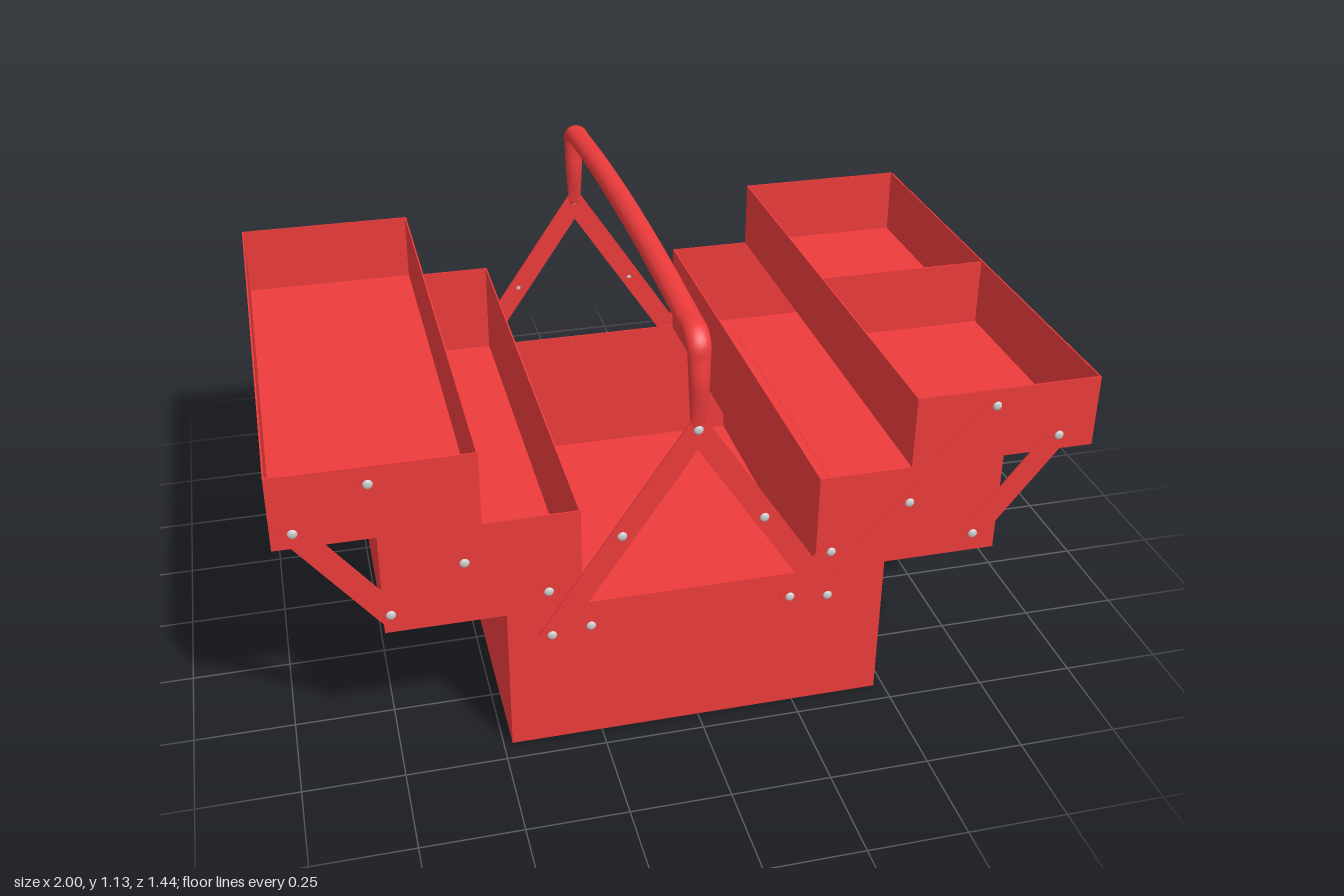
import * as THREE from 'three';

const red = new THREE.MeshStandardMaterial({ color: 0xec3b3b });
const grey = new THREE.MeshStandardMaterial({ color: 0xcccccc });
const WALL = 0.004, HALF = 0.692, BODY_Z = 0.004, MID = -0.022;

function add(parent, name, geometry, material = red) {
  const mesh = new THREE.Mesh(geometry, material);
  mesh.name = name;
  parent.add(mesh);
  return mesh;
}

// Open sheet-metal box: floor and four thin walls
function openBox(name, x0, x1, y0, y1) {
  const g = new THREE.Group();
  g.name = name;
  g.position.z = BODY_Z;
  const w = x1 - x0, h = y1 - y0, cx = (x0 + x1) / 2, cy = (y0 + y1) / 2;
  add(g, 'floor', new THREE.BoxGeometry(w, WALL, HALF * 2)).position.set(cx, y0 + WALL / 2, 0);
  for (const s of [-1, 1]) {
    add(g, 'sideWall', new THREE.BoxGeometry(WALL, h, HALF * 2)).position.set(cx + s * (w - WALL) / 2, cy, 0);
    add(g, 'endWall', new THREE.BoxGeometry(w, h, WALL)).position.set(cx, cy, s * (HALF - WALL / 2));
  }
  return g;
}

// Flat round-ended bar between two pivots in the xy plane
function strap(parent, name, a, b, z) {
  const r = 0.029, len = Math.hypot(b[0] - a[0], b[1] - a[1]);
  const s = new THREE.Shape();
  s.absarc(len, 0, r, -Math.PI / 2, Math.PI / 2);
  s.absarc(0, 0, r, Math.PI / 2, Math.PI * 1.5);
  s.closePath();
  const geo = new THREE.ExtrudeGeometry(s, { depth: 0.005, bevelEnabled: false, curveSegments: 10 });
  geo.translate(0, 0, -0.0025);
  const m = add(parent, name, geo);
  m.position.set(a[0], a[1], z);
  m.rotation.z = Math.atan2(b[1] - a[1], b[0] - a[0]);
}

// Smooth carrying handle: elliptical sections swept along an arch in the yz plane
function handleGeometry() {
  // z, y, half width in x, half thickness in the plane
  const half = [
    [0.699, 0.84, 0.017, 0.003], [0.699, 0.88, 0.02, 0.01], [0.698, 0.93, 0.023, 0.019],
    [0.698, 0.97, 0.025, 0.022], [0.695, 1.02, 0.027, 0.019], [0.69, 1.055, 0.029, 0.02],
    [0.662, 1.075, 0.03, 0.024], [0.6, 1.079, 0.03, 0.025], [0.4, 1.091, 0.03, 0.027], [0.2, 1.0985, 0.03, 0.028],
  ];
  const rows = [...half, [0, 1.101, 0.03, 0.0285], ...half.slice().reverse().map(([z, ...r]) => [-z, ...r])];
  const path = new THREE.CatmullRomCurve3(rows.map(([z, y]) => new THREE.Vector3(0, y, z)), false, 'centripetal');
  const radii = new THREE.CatmullRomCurve3(rows.map(r => new THREE.Vector3(r[2], r[3], 0)), false, 'catmullrom');
  const N = 100, S = 20, pos = [], idx = [];
  for (let i = 0; i <= N; i++) {
    const p = path.getPoint(i / N), t = path.getTangent(i / N), r = radii.getPoint(i / N);
    for (let j = 0; j < S; j++) {
      const a = j / S * Math.PI * 2, c = Math.cos(a) * r.x, n = Math.sin(a) * r.y;
      pos.push(c, p.y - t.z * n, p.z + t.y * n);
      if (i < N) {
        const k = i * S + j, l = i * S + (j + 1) % S;
        idx.push(k, k + S, l, l, k + S, l + S);
      }
    }
  }
  for (let j = 1; j < S - 1; j++) idx.push(0, j, j + 1, N * S, N * S + j + 1, N * S + j);
  const geo = new THREE.BufferGeometry();
  geo.setAttribute('position', new THREE.Float32BufferAttribute(pos, 3));
  geo.setIndex(idx);
  geo.computeVertexNormals();
  return geo;
}

export function createModel() {
  const model = new THREE.Group();
  model.name = 'cantileverToolbox';

  // Base and the two tiers of trays
  model.add(openBox('base', -0.478, 0.475, 0, 0.397));
  model.add(openBox('leftMiddleTray', 0.292, 0.765, 0.392, 0.66));
  model.add(openBox('rightMiddleTray', -0.766, -0.294, 0.392, 0.66));
  model.add(openBox('leftTopTray', 0.525, 1, 0.66, 0.85));
  model.add(openBox('rightTopTray', -1, -0.526, 0.66, 0.85));
  add(model, 'trayDivider', new THREE.BoxGeometry(0.47, 0.185, WALL)).position.set(0.762, 0.755, 0);

  // Linkage straps and rivets, mirrored to each side and each end
  const rivets = [[0.753, 0.805], [0.928, 0.7], [0.727, 0.442], [0.549, 0.56], [0.353, 0.446],
    [0.349, 0.32], [0.252, 0.328], [0.175, 0.578]];
  const rivetGeo = new THREE.SphereGeometry(0.012, 12, 8);
  rivetGeo.scale(1, 1, 0.5);
  const links = new THREE.Group();
  links.name = 'linkage';
  model.add(links);
  for (const end of [-1, 1]) {
    const inner = end * 0.695, outer = end * 0.7;
    for (const s of [-1, 1]) {
      const at = ([x, y]) => [MID + s * x, y];
      strap(links, 'longStrap', at(rivets[5]), at(rivets[0]), inner);
      strap(links, 'outerStrap', at(rivets[2]), at(rivets[1]), inner);
      strap(links, 'innerStrap', at(rivets[6]), at(rivets[4]), inner);
      strap(links, 'handleStrap', at(rivets[5]), [-0.016, 0.842], outer);
      rivets.forEach((r, i) => {
        const z = i === 5 || i === 7 ? 0.7025 : 0.698;
        add(links, 'rivet', rivetGeo, grey).position.set(...at(r), end * z);
      });
    }
    add(links, 'handleRivet', rivetGeo, grey).position.set(-0.016, 0.843, end * 0.7025);
  }

  add(model, 'handle', handleGeometry()).position.x = -0.016;
  return model;
}
